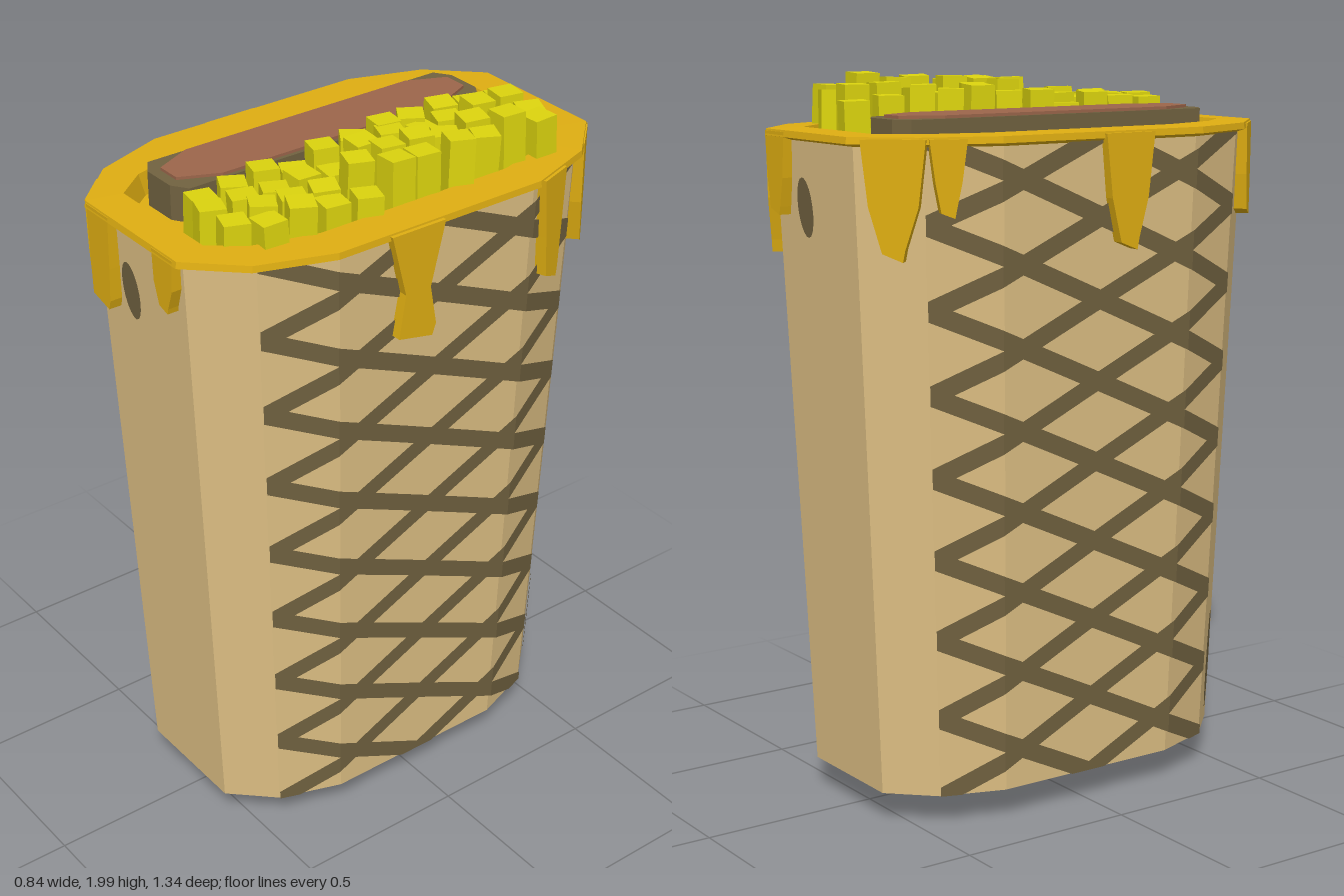
import * as THREE from 'three';

const mat = (name, color) => {
  const m = new THREE.MeshStandardMaterial({ color });
  m.name = name;
  return m;
};

// Full twelve-sided outline from one quarter, running from +x towards +z
const outline = (q) => {
  const half = [...q, ...[...q].reverse().map(([x, z]) => [-x, z])];
  return [...half, ...half.map(([x, z]) => [-x, -z])];
};
const WALL = outline([[0.395, 0.315], [0.325, 0.515], [0.2, 0.645]]);
const INNER = outline([[0.3, 0.3], [0.25, 0.48], [0.18, 0.57]]);
const Y0 = 0.09, Y1 = 1.84;
const taper = (y) => 0.875 + 0.125 * (y - Y0) / (Y1 - Y0);
const ring = (pts, s, y) => pts.map(([x, z]) => [x * s, y, z * s]);

// Flat-shaded surface through rows of points
function skin(rows, closed) {
  const pos = [];
  for (let r = 0; r < rows.length - 1; r++) {
    const n = rows[r].length;
    for (let i = 0; i < (closed ? n : n - 1); i++) {
      const j = (i + 1) % n;
      const a = rows[r][i], b = rows[r][j], c = rows[r + 1][j], d = rows[r + 1][i];
      pos.push(...a, ...d, ...c, ...a, ...c, ...b);
    }
  }
  const g = new THREE.BufferGeometry();
  g.setAttribute('position', new THREE.Float32BufferAttribute(pos, 3));
  g.computeVertexNormals();
  return g;
}

export function createModel() {
  const model = new THREE.Group();
  const tan = mat('wafer tan', 0xdfc084);
  const dark = mat('toasted brown', 0x716240);
  const gold = mat('cheese gold', 0xdfae12);
  const yellow = mat('potato yellow', 0xdcd40e);
  const red = mat('sausage red', 0x9c664b);
  const add = (name, geo, material, parent = model) => {
    const m = new THREE.Mesh(geo, material);
    m.name = name;
    parent.add(m);
    return m;
  };

  // Tapered cup and its shallow pointed base
  add('cupWall', skin([ring(WALL, 0.875, Y0), ring(WALL, 1, Y1)], true), tan);
  add('cupBase', skin([ring(WALL, 0.001, 0.005), ring(WALL, 0.44, 0.03), ring(WALL, 0.875, Y0)], true), dark);

  // Cheese rim, inner wall and floor in one skin
  add('cheeseRim', skin([
    ring(WALL, 0.99, 1.832), ring(WALL, 1.04, 1.842), ring(WALL, 1.035, 1.86),
    ring(INNER, 1, 1.862), ring(INNER, 0.97, 1.8), ring(INNER, 0.001, 1.8),
  ], true), gold);

  // Waffle lattice and scorch marks, repeated on the opposite side
  const BEND = 0.625, STEPS = 24;
  const onSide = (f, y) => {
    const yy = THREE.MathUtils.clamp(y, Y0, Y1), s = taper(yy), a = Math.abs(f);
    const x = a <= BEND ? 0.395 : THREE.MathUtils.mapLinear(a, BEND, 1, 0.395, 0.325);
    return [x * s + 0.005, yy, f * 0.515 * s];
  };
  for (const turn of [0, Math.PI]) {
    const side = new THREE.Group();
    side.name = turn ? 'rightMarkings' : 'leftMarkings';
    side.rotation.y = turn;
    model.add(side);
    for (let k = -1; k <= 7; k++) {
      for (const sign of [-1, 1]) {
        const low = [], high = [];
        for (let i = -STEPS; i <= STEPS; i++) {
          const f = i / STEPS;
          const y = 0.31 + 0.221 * k + sign * 0.1105 * (1 - Math.abs(2 * Math.abs(f) - 1));
          low.push(onSide(f, y - 0.027));
          high.push(onSide(f, y + 0.027));
        }
        add('latticeStrand', skin([low, high], false), dark, side);
      }
    }
    const spot = (x, y, z, rx, ry, angle, tilt) => {
      const m = add('scorchMark', new THREE.CircleGeometry(1, 20), dark, side);
      m.scale.set(rx, ry, 1);
      m.rotation.set(0.045, angle, tilt, 'YXZ');
      m.position.set(x + Math.sin(angle) * 0.005, y, z + Math.cos(angle) * 0.005);
    };
    spot(-0.05, 1.66, 0.637, 0.038, 0.08, 0, 0.15);
    spot(-0.233, 0.29, 0.516, 0.03, 0.15, -0.806, 0);
  }

  // Cheese drips: x, z, facing angle, top / waist / tip widths, length
  const drips = [
    [-0.15, 0.645, 0, 0.1, 0.09, 0.08, 0.27],
    [-0.245, 0.6, -0.806, 0.12, 0.1, 0.07, 0.26],
    [0.145, 0.645, 0, 0.09, 0.08, 0.04, 0.16],
    [0.395, 0.085, Math.PI / 2, 0.17, 0.08, 0.12, 0.32],
    [0.371, -0.385, 1.907, 0.11, 0.08, 0.06, 0.31],
    [0.16, -0.645, Math.PI, 0.1, 0.08, 0.05, 0.22],
    [0.24, -0.604, 2.335, 0.12, 0.1, 0.05, 0.33],
    [-0.275, -0.567, -2.335, 0.17, 0.13, 0.06, 0.31],
    [-0.345, -0.457, -1.907, 0.1, 0.07, 0.04, 0.2],
    [-0.395, 0.075, -Math.PI / 2, 0.16, 0.12, 0.06, 0.31],
  ];
  for (const [x, z, angle, top, mid, tip, len] of drips) {
    const s = new THREE.Shape([
      [-top / 2, 0], [-mid / 2, -len * 0.55], [-tip / 2, -len * 0.93], [tip * 0.4, -len],
      [tip / 2, -len * 0.9], [mid / 2, -len * 0.55], [top / 2, 0],
    ].map(([a, b]) => new THREE.Vector2(a, b)));
    const g = new THREE.ExtrudeGeometry(s, { depth: 0.04, bevelEnabled: false });
    g.translate(0, 0, -0.015);
    const m = add('cheeseDrip', g, gold);
    m.position.set(x, 1.855, z);
    m.rotation.y = angle;
  }

  // Sausage: dark chamfered slab with a red top face
  const slab = (w, l, cx, cz, y, h) => {
    const s = new THREE.Shape([
      [-w, -l + cz], [-w + cx, -l], [w - cx, -l], [w, -l + cz],
      [w, l - cz], [w - cx, l], [-w + cx, l], [-w, l - cz],
    ].map(([a, b]) => new THREE.Vector2(a, b)));
    const g = new THREE.ExtrudeGeometry(s, { depth: h, bevelEnabled: false });
    return g.rotateX(-Math.PI / 2).translate(-0.137, y, -0.015);
  };
  add('sausageSkin', slab(0.097, 0.505, 0.045, 0.03, 1.79, 0.107), dark);
  add('sausageTop', slab(0.086, 0.475, 0.05, 0.11, 1.897, 0.008), red);

  // Potato sticks in four staggered columns
  let seed = 7;
  const rand = () => (seed = (seed * 16807) % 2147483647) / 2147483647 - 0.5;
  [[0.045, -0.483], [0.113, -0.455], [0.19, -0.472], [0.265, -0.44]].forEach(([x, z0], col) => {
    for (let row = 0; row < (col > 1 ? 10 + (col === 2) : 11); row++) {
      const z = z0 + row * 0.0965;
      const back = z < 0.12 ? 0.012 : -0.015;
      const top = 1.94 + back + (z < 0.12 ? col * 0.01 : 0) + rand() * 0.035;
      const m = add('potatoStick', new THREE.BoxGeometry(0.07, top - 1.79, 0.07), yellow);
      m.position.set(x + rand() * 0.02, (top + 1.79) / 2, z + rand() * 0.015);
      m.rotation.set(rand() * 0.1, (col % 2 ? -0.2 : -0.4) + rand() * 0.5, rand() * 0.1);
    }
  });

  return model;
}
